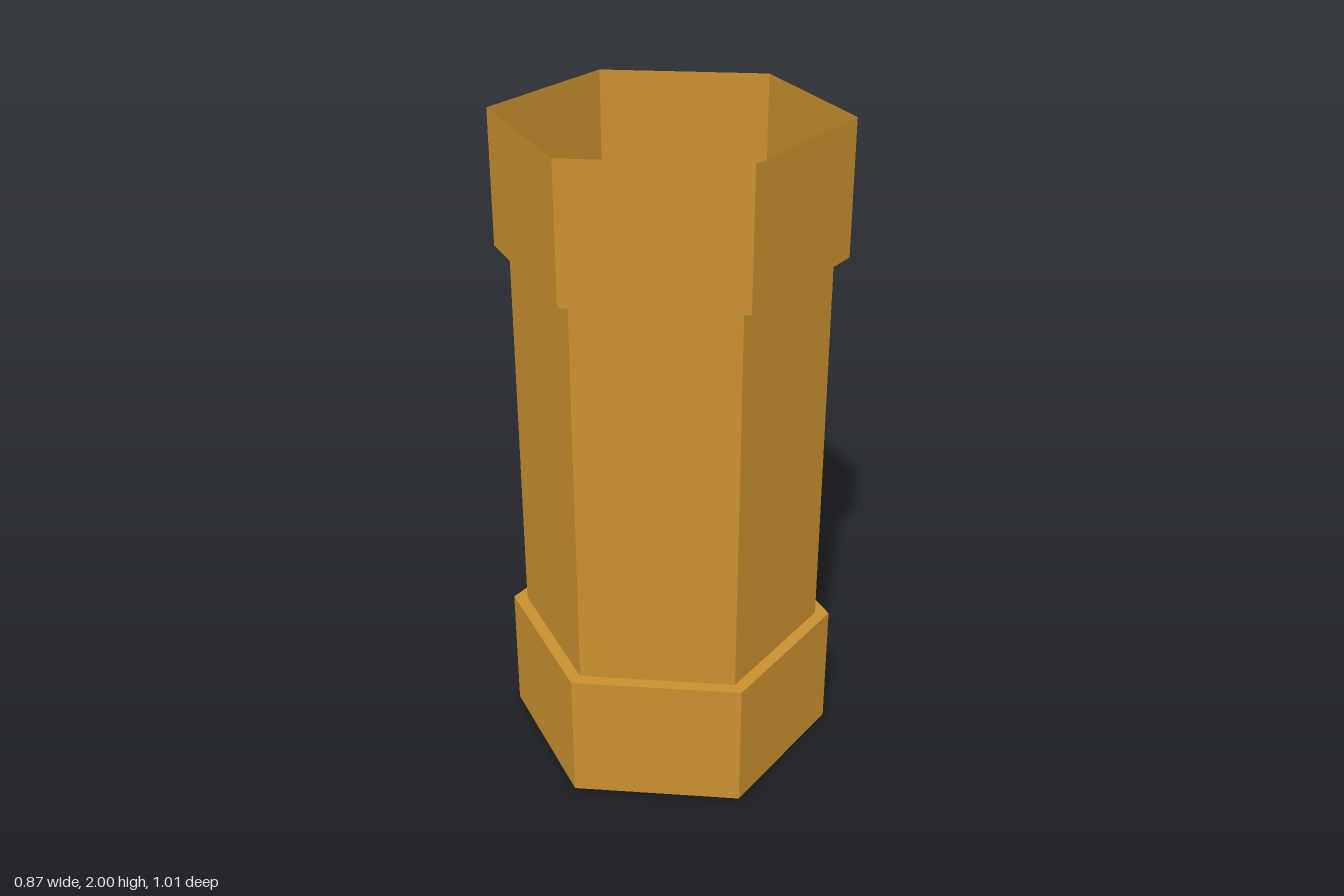
import * as THREE from 'three';

const COLLAR_R = 0.505; // corner radius of the end collars
const SHAFT_R = 0.462;  // corner radius of the narrower shaft

export function createModel() {
  const group = new THREE.Group();
  const ochre = new THREE.MeshStandardMaterial({ color: 0xc8902e, flatShading: true, side: THREE.DoubleSide });
  ochre.name = 'ochre';

  // Six-sided shell from a [radius, height] profile, corners on the z axis
  const addHexShell = (name, profile) => {
    const points = profile.map(([r, y]) => new THREE.Vector2(r, y));
    const mesh = new THREE.Mesh(new THREE.LatheGeometry(points, 6), ochre);
    mesh.name = name;
    group.add(mesh);
  };

  // Closed floor, lower collar and its ledge
  addHexShell('lowerCollar', [[0, 0], [COLLAR_R, 0], [COLLAR_R, 0.4], [SHAFT_R, 0.4]]);
  // Thin-walled shaft
  addHexShell('shaft', [[SHAFT_R, 0.4], [SHAFT_R, 1.6]]);
  // Upper collar, stepped out and open at the top
  addHexShell('upperCollar', [[SHAFT_R, 1.6], [COLLAR_R, 1.6], [COLLAR_R, 2]]);

  return group;
}
